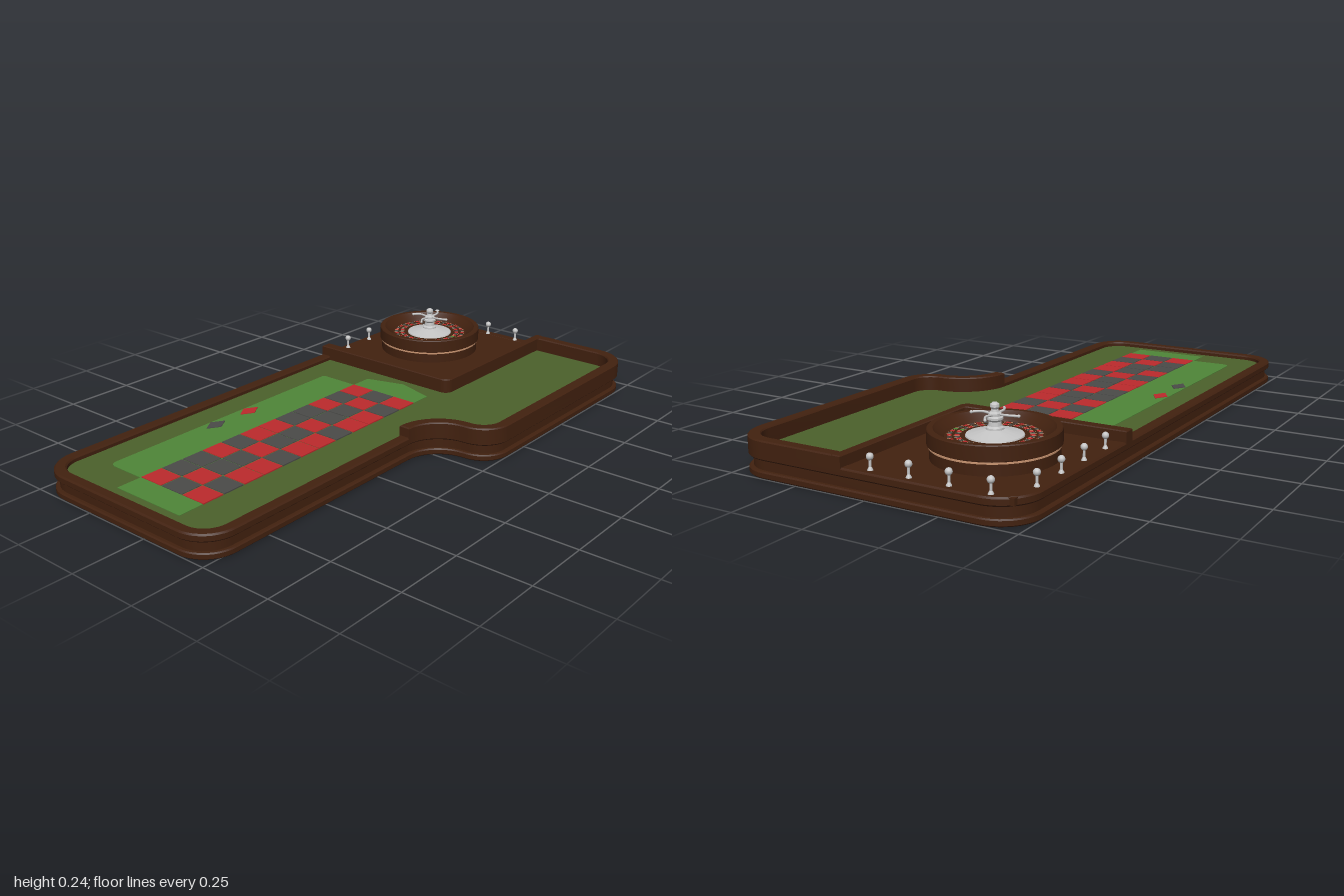
import * as THREE from 'three';
import { toCreasedNormals } from 'three/addons/utils/BufferGeometryUtils.js';

const paint = (name, color) => {
  const m = new THREE.MeshStandardMaterial({ color });
  m.name = name;
  return m;
};

// Rounds the corners [x, y, r] of a path; r = 0 keeps the corner sharp.
function rounded(corners) {
  const pts = [], n = corners.length;
  corners.forEach(([x, y, r], i) => {
    const p = new THREE.Vector2(x, y);
    if (!r) { pts.push(p); return; }
    const toward = (c) => new THREE.Vector2(c[0], c[1]).sub(p).normalize().multiplyScalar(r);
    const a = toward(corners[(i + n - 1) % n]), b = toward(corners[(i + 1) % n]);
    for (let k = 0; k <= 10; k++) {
      const t = (k / 10) * Math.PI / 2;
      pts.push(p.clone().addScaledVector(a, 1 - Math.sin(t)).addScaledVector(b, 1 - Math.cos(t)));
    }
  });
  return pts;
}

// Table outline moved inward by d (plan coordinates: x, -z).
const outline = (d) => rounded([
  [-0.5 + d, -1 + d, 0.125 - d], [0.265 - d, -1 + d, 0.115 - d],
  [0.265 - d, 0.04 + d, 0.13 + d], [0.5 - d, 0.04 + d, 0.105 - d],
  [0.5 - d, 1 - d, 0.125 - d], [-0.5 + d, 1 - d, 0.125 - d],
]);

// Part of the outline that carries the taller rail.
const tallEdge = (d) => rounded([
  [0.265 - d, -0.09, 0], [0.265 - d, 0.04 + d, 0.13 + d], [0.5 - d, 0.04 + d, 0.105 - d],
  [0.5 - d, 1 - d, 0.125 - d], [0.11, 1 - d, 0],
]);

export function createModel() {
  const model = new THREE.Group();
  model.name = 'rouletteTable';
  const wood = paint('dark wood', 0x42210f);
  const felt = paint('felt green', 0x4b612b);
  const bright = paint('layout green', 0x4f8638);
  const red = paint('red', 0xbc2a2c);
  const grey = paint('charcoal', 0x4a4a48);
  const silver = paint('silver', 0xc4c4c4);
  const brass = paint('brass', 0xc89470);

  const add = (name, geo, mat, parent = model) => {
    const mesh = new THREE.Mesh(geo, mat);
    mesh.name = name;
    parent.add(mesh);
    return mesh;
  };

  // Upright slab from a plan, between heights y0 and y1.
  const slab = (name, pts, y0, y1, mat, { hole, bevel = 0, parent } = {}) => {
    const shape = new THREE.Shape(pts);
    if (hole) shape.holes.push(new THREE.Path(hole));
    const geo = new THREE.ExtrudeGeometry(shape, {
      depth: y1 - y0 - 2 * bevel, bevelEnabled: bevel > 0, bevelSize: bevel,
      bevelThickness: bevel, bevelOffset: -bevel, bevelSegments: 1,
    });
    geo.rotateX(-Math.PI / 2).translate(0, y0 + bevel, 0);
    return add(name, toCreasedNormals(geo, 0.5), mat, parent);
  };
  const rect = (x0, z0, x1, z1) =>
    rounded([[x0, -z1, 0], [x1, -z1, 0], [x1, -z0, 0], [x0, -z0, 0]]);

  // Table body with a grooved side
  slab('baseMoulding', outline(0), 0, 0.022, wood, { bevel: 0.004 });
  slab('bodyCore', outline(0.014), 0.018, 0.06, wood);
  slab('feltSurface', outline(0.035), 0.058, 0.066, felt);
  slab('rail', outline(0), 0.055, 0.082, wood, { hole: outline(0.04), bevel: 0.005 });
  slab('tallRail', [...tallEdge(0), ...tallEdge(0.04).reverse()], 0.06, 0.117, wood, { bevel: 0.004 });

  // Wheel platform and the raised border on its two inner sides
  slab('wheelPlatform', rect(-0.47, -0.97, 0.09, -0.36), 0.06, 0.081, wood);
  slab('platformBorder', rounded([
    [-0.5, 0.34, 0], [0.11, 0.34, 0.03], [0.11, 1, 0],
    [0.08, 1, 0], [0.08, 0.38, 0.01], [-0.5, 0.38, 0],
  ]), 0.06, 0.117, wood, { bevel: 0.003 });

  // Betting layout
  const layout = new THREE.Group();
  layout.name = 'bettingLayout';
  model.add(layout);
  const plate = (name, pts, mat, y = 0.068) => slab(name, pts, 0.064, y, mat, { parent: layout });
  plate('outsideBets', rounded([
    [-0.36, -0.83, 0.025], [-0.21, -0.83, 0], [-0.21, 0.19, 0], [-0.36, 0.19, 0.01],
  ]), bright);
  plate('columnBets', rect(-0.21, 0.83, 0.07, 0.92), bright);
  plate('numberBacking', rect(-0.21, -0.19, 0.07, 0.83), bright);
  plate('zeroField', rounded([
    [-0.21, 0.19, 0], [0.07, 0.19, 0], [0.07, 0.27, 0], [-0.07, 0.31, 0], [-0.21, 0.27, 0],
  ]), bright);
  const rows = ['rgr', 'grg', 'rgr', 'ggr', 'grg', 'rgr', 'rgr', 'grg', 'rgr', 'ggr', 'grg', 'rgr'];
  rows.forEach((row, j) => [...row].forEach((c, i) => {
    const x = -0.208 + i * 0.0945, z = -0.188 + j * 0.085;
    plate('numberField', rect(x, z, x + 0.09, z + 0.081), c === 'r' ? red : grey, 0.07);
  }));
  [[0.24, red], [0.4, grey]].forEach(([z, mat]) => plate('colourDiamond', rounded([
    [-0.33, -z - 0.043, 0], [-0.303, -z, 0], [-0.33, -z + 0.043, 0], [-0.357, -z, 0],
  ]), mat, 0.07));

  // Wheel
  const wheel = new THREE.Group();
  wheel.name = 'wheel';
  wheel.position.set(-0.23, 0, -0.685);
  model.add(wheel);
  const lathe = (name, profile, mat, parent = wheel) => add(name, toCreasedNormals(
    new THREE.LatheGeometry(profile.map(([r, y]) => new THREE.Vector2(r, y)), 48), 0.5), mat, parent);
  lathe('bowl', [
    [0.19, 0.078], [0.19, 0.122], [0.197, 0.125], [0.197, 0.168], [0.194, 0.171], [0.178, 0.171],
    [0.172, 0.164], [0.152, 0.15], [0.146, 0.144], [0, 0.144],
  ], wood);
  lathe('bowlTrim', [[0.19, 0.116], [0.193, 0.116], [0.193, 0.121], [0.19, 0.121]], brass);

  // Ring of pockets and number marks
  const count = 37, step = (Math.PI * 2) / count;
  const sector = (name, r0, r1, i, part, mat) => {
    const geo = new THREE.RingGeometry(r0, r1, 2, 1, i * step, step * part);
    add(name, geo.rotateX(-Math.PI / 2).translate(0, 0.1455, 0), mat, wheel);
  };
  for (let i = 0; i < count; i++) {
    const mat = i === 0 ? bright : i % 2 ? red : grey;
    sector('pocket', 0.102, 0.116, i, 0.75, mat);
    sector('numberMark', 0.125, 0.138, i, 0.6, mat);
    sector('pocketDivider', 0.1, 0.12, i + 0.8, 0.15, brass);
    sector('numberDivider', 0.128, 0.14, i + 0.72, 0.18, brass);
  }

  // Metal cone, turret and four handles
  lathe('cone', [[0.087, 0.143], [0.085, 0.148], [0.05, 0.156], [0.025, 0.163]], silver);
  lathe('turret', [
    [0.027, 0.16], [0.026, 0.168], [0.02, 0.173], [0.018, 0.186], [0.024, 0.192], [0.024, 0.198],
    [0.019, 0.202], [0.019, 0.21], [0.012, 0.215], [0.01, 0.222], [0.014, 0.228],
    [0.013, 0.236], [0.007, 0.241], [0, 0.242],
  ], silver);
  for (let i = 0; i < 4; i++) {
    const arm = new THREE.Group();
    arm.name = 'handle';
    arm.rotation.y = i * Math.PI / 2 + 0.1;
    wheel.add(arm);
    const curve = new THREE.CatmullRomCurve3([
      new THREE.Vector3(0.012, 0.206, 0), new THREE.Vector3(0.045, 0.208, 0.006),
      new THREE.Vector3(0.074, 0.206, -0.006),
    ]);
    add('handleBar', new THREE.TubeGeometry(curve, 12, 0.0038, 8), silver, arm);
    add('handleTip', new THREE.SphereGeometry(0.005, 10, 8), silver, arm).position.set(0.073, 0.206, -0.006);
  }

  // Small ball-topped posts along the two outer sides of the platform
  const post = (x, z) => {
    const g = new THREE.Group();
    g.name = 'post';
    g.position.set(x, 0, z);
    model.add(g);
    lathe('postStem', [[0.009, 0.08], [0.008, 0.085], [0.004, 0.092], [0.004, 0.118]], silver, g);
    add('postBall', new THREE.SphereGeometry(0.011, 14, 10), silver, g).position.y = 0.122;
  };
  for (let i = 0; i < 4; i++) {
    post(-0.4 + i * 0.132, -0.972);
    post(-0.472, -0.86 + i * 0.132);
  }
  return model;
}
